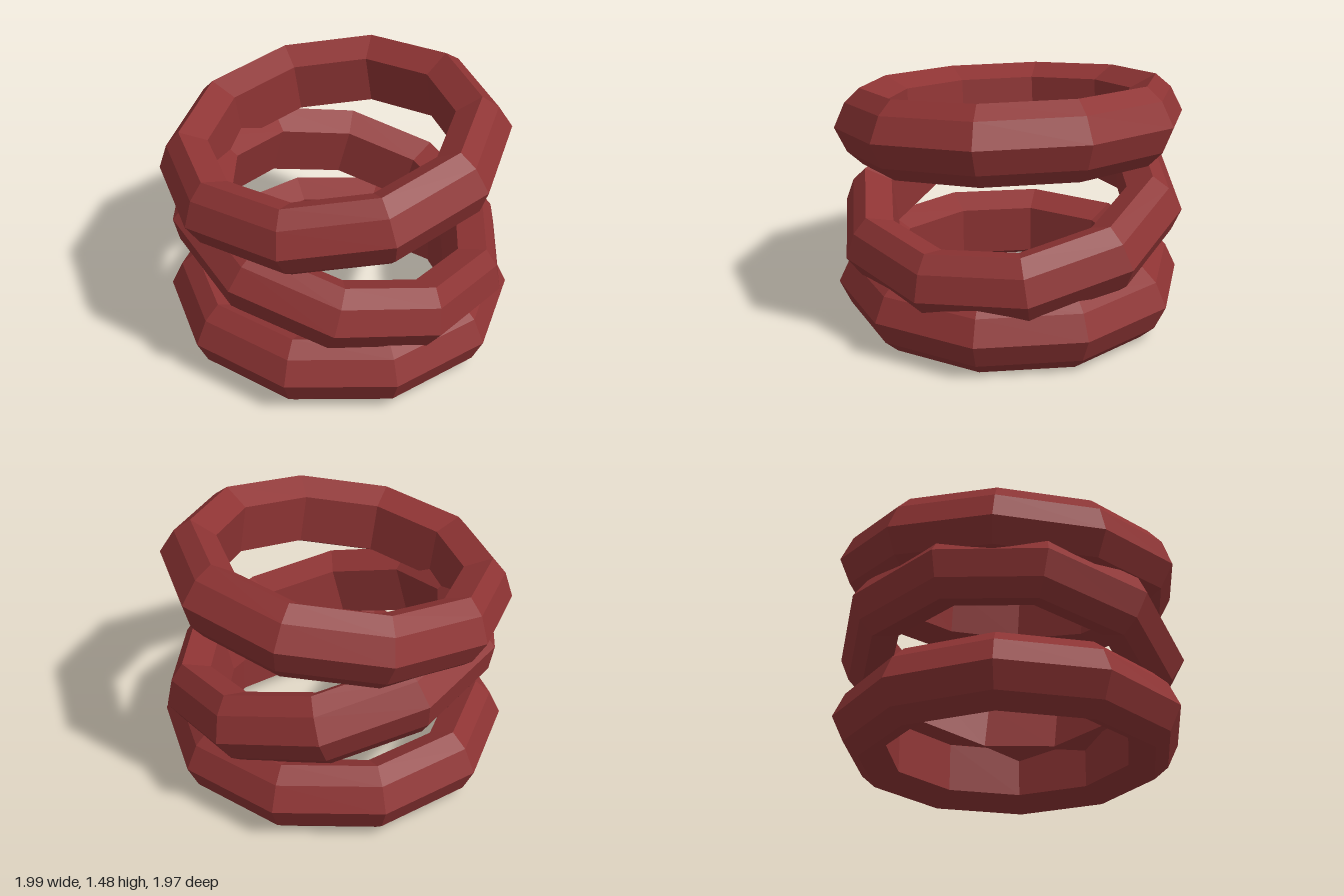
import * as THREE from 'three';

export function createModel() {
  const group = new THREE.Group();
  const red = new THREE.MeshStandardMaterial({ color: 0x8e3434, flatShading: true });
  red.name = 'dark red';

  // Ring cross-section (radius, height): faceted outside, flat inner wall
  const profile = [
    [0.687, -0.142], [0.837, -0.215], [0.922, -0.138], [0.987, 0],
    [0.922, 0.138], [0.837, 0.215], [0.687, 0.142], [0.687, -0.142],
  ].map(([r, y]) => new THREE.Vector2(r, y));

  // Ten-sided ring with a corner on each end of the x axis
  const geometry = new THREE.LatheGeometry(profile, 10, Math.PI / 10);

  // Places a ring; slopeX and slopeZ are its rise per unit along x and z
  function addRing(name, x, y, slopeX, slopeZ, yaw) {
    const ring = new THREE.Mesh(geometry, red);
    ring.name = name;
    ring.position.set(x, y, 0);
    const up = new THREE.Vector3(0, 1, 0);
    const normal = new THREE.Vector3(-slopeX, 1, -slopeZ).normalize();
    const spin = new THREE.Quaternion().setFromAxisAngle(up, yaw);
    ring.quaternion.setFromUnitVectors(up, normal).multiply(spin);
    group.add(ring);
  }

  addRing('bottomRing', 0.005, 0.215, 0, 0, 0);
  addRing('middleRing', 0.012, 0.65, -0.245, -0.066, THREE.MathUtils.degToRad(16));
  addRing('topRing', -0.022, 1.15, 0.133, -0.06, 0);

  return group;
}
